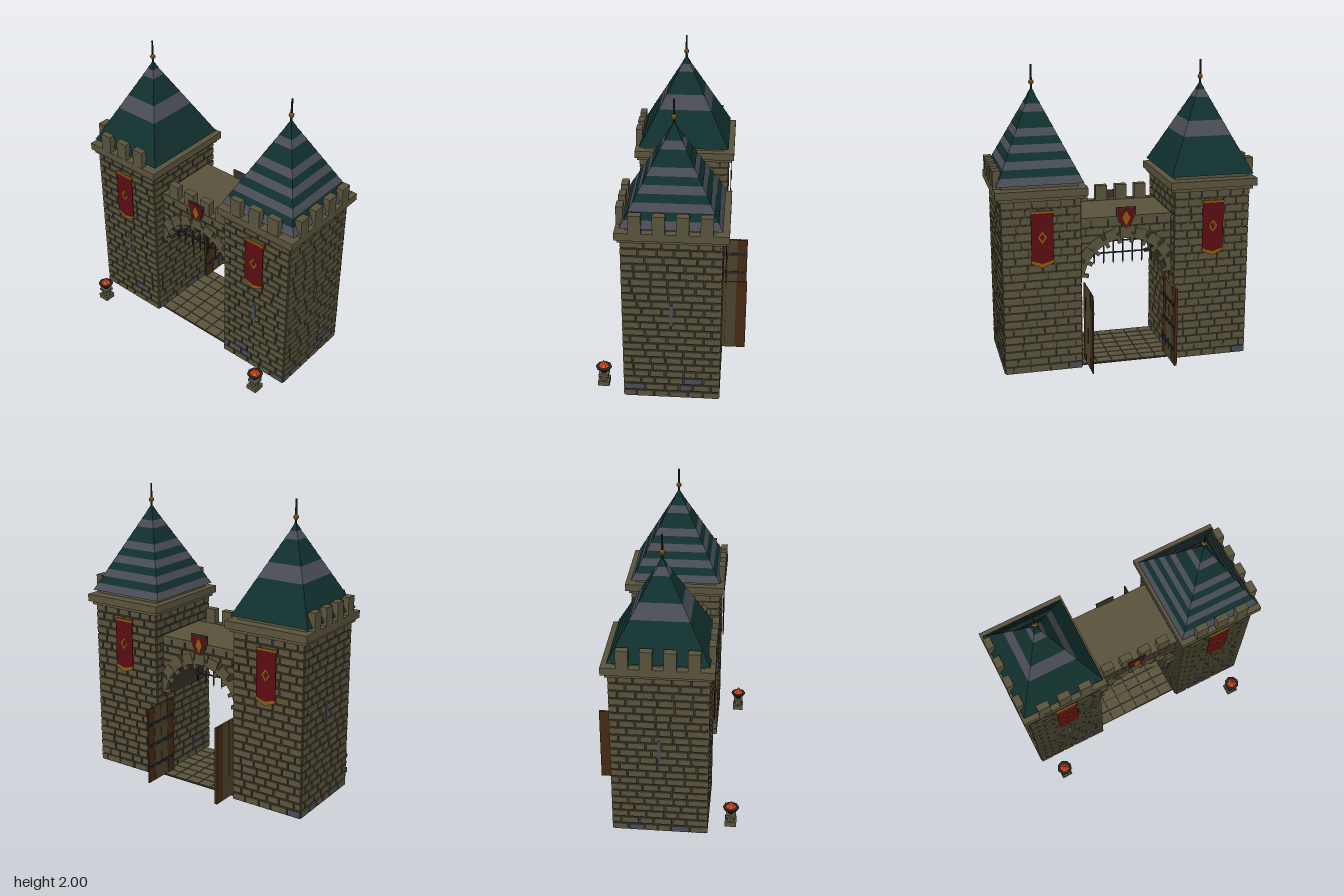
import * as THREE from 'three';
import { mergeGeometries } from 'three/addons/utils/BufferGeometryUtils.js';

const COLORS = {
  stone: 0x59533c, mortar: 0x37332a, tealTile: 0x10302d, slate: 0x494c55, redCloth: 0x5c0d12,
  gold: 0x8c5a12, wood: 0x432811, paleWood: 0x4b412c, iron: 0x22272b, flame: 0xd8481a,
};

// Towers: centre, half sizes and wall height
const TX = 0.5725, TZ = -0.0175, HX = 0.2545, HZ = 0.3045, TH = 1.18, PROUD = 0.008;
const ARCH_Y = 0.58, ARCH_R = 0.3, WALL_F = 0.2, WALL_B = -0.25, WALL_TOP = 1.02;

export function createModel() {
  const model = new THREE.Group();
  const mats = {};
  for (const [name, color] of Object.entries(COLORS)) {
    mats[name] = new THREE.MeshStandardMaterial({ color });
    mats[name].name = name;
  }
  let seed = 7;
  const rand = () => (seed = (seed * 16807) % 2147483647) / 2147483647;

  // Gathers faceted pieces by part name and colour; merged at the end
  const parts = new Map();
  function add(part, mat, geo, x = 0, y = 0, z = 0, ry = 0) {
    const g = geo.index ? geo.toNonIndexed() : geo;
    g.deleteAttribute('uv');
    if (ry) g.rotateY(ry);
    g.translate(x, y, z);
    g.computeVertexNormals();
    const key = part + '|' + mat;
    if (!parts.has(key)) parts.set(key, []);
    parts.get(key).push(g);
  }
  const box = (part, mat, w, h, d, x, y, z) => add(part, mat, new THREE.BoxGeometry(w, h, d), x, y, z);
  // Flat plate from outline points, facing +z (s = 1) or -z (s = -1)
  function plate(part, mat, pts, x, y, z, s, depth = 0.004) {
    const shape = new THREE.Shape(pts.map(p => new THREE.Vector2(...p)));
    const g = new THREE.ExtrudeGeometry(shape, { depth, bevelEnabled: false });
    add(part, mat, g, x, y, z, s < 0 ? Math.PI : 0);
  }
  const diamond = (w, h) => [[0, -h], [w, 0], [0, h], [-w, 0]];

  // Running-bond courses along one face; place(u, y, w, h, mat) puts a brick
  function courses(from, to, y0, y1, rows, place) {
    const rh = (y1 - y0) / rows;
    for (let r = 0; r < rows; r++) {
      let u = from;
      let w = r % 2 ? 0.05 : 0.1;
      while (u < to - 0.001) {
        if (to - u - w < 0.04) w = to - u;
        const mat = y0 < 0.1 && r < 3 && rand() < 0.1 ? 'slate' : 'stone';
        place(u + w / 2, y0 + (r + 0.5) * rh, w - 0.011, rh - 0.011, mat);
        u += w;
        w = 0.08 + rand() * 0.05;
      }
    }
  }

  for (const s of [-1, 1]) {
    const side = s > 0 ? 'left' : 'right';
    const cx = s * TX;

    // Tower body with brick faces
    box(side + 'TowerCore', 'mortar', HX * 2, TH, HZ * 2, cx, TH / 2, TZ);
    for (const f of [-1, 1]) {
      courses(-HX - PROUD, HX + PROUD, 0, TH, 22, (u, y, w, h, m) =>
        box(side + 'TowerBricks', m, w, h, 0.02, cx + u, y, TZ + f * (HZ - 0.01 + PROUD)));
      courses(-HZ, HZ, 0, TH, 22, (u, y, w, h, m) =>
        box(side + 'TowerBricks', m, 0.02, h, w, cx + f * (HX - 0.01 + PROUD), y, TZ + u));
    }

    // Arrow slits
    box(side + 'ArrowSlit', 'slate', 0.025, 0.15, 0.008, cx, 0.495, TZ + HZ + PROUD);
    box(side + 'ArrowSlit', 'slate', 0.008, 0.15, 0.025, cx + s * (HX + PROUD), 0.645, TZ);

    // Cornice and battlements
    box(side + 'Cornice', 'stone', 0.555, 0.03, 0.655, cx, 1.19, TZ);
    box(side + 'Cornice', 'stone', 0.595, 0.05, 0.695, cx, 1.225, -0.022);
    for (const dx of [-0.15, 0, 0.145])
      box(side + 'Merlons', 'stone', 0.082, 0.12, 0.045, cx + s * dx, 1.31, 0.302);
    for (const z of [0.2, 0.055, -0.09, -0.235])
      box(side + 'Merlons', 'stone', 0.05, 0.12, 0.077, s * 0.845, 1.31, z);

    // Banded pyramid roof of twelve overlapping courses
    box(side + 'RoofBase', 'stone', 0.5, 0.035, 0.56, cx, 1.265, TZ);
    const grey = s > 0 ? [0, 2, 4, 6, 9] : [5, 6, 10];
    const N = 12, y0 = 1.275, rh = 0.575 / N;
    for (let i = 0; i < N; i++) {
      const lower = 1 - i / N + 0.008, upper = Math.max(1 - (i + 1) / N, 0.012);
      const g = new THREE.CylinderGeometry(upper * Math.SQRT2, lower * Math.SQRT2, rh, 4);
      g.rotateY(Math.PI / 4);
      g.scale(0.28, 1, 0.31);
      add(side + 'Roof', grey.includes(i) ? 'slate' : 'tealTile', g, cx, y0 + (i + 0.5) * rh, TZ);
    }
    add(side + 'FinialRod', 'iron', new THREE.CylinderGeometry(0.006, 0.008, 0.17, 6), cx, 1.915, TZ);
    add(side + 'FinialBall', 'gold', new THREE.SphereGeometry(0.018, 8, 6), cx, 1.887, TZ);

    // Banners on front and back
    for (const f of [1, -1]) {
      const z = TZ + f * (HZ + 0.024);
      const name = side + 'Banner';
      plate(name, 'redCloth', [[-0.072, 0.77], [0, 0.745], [0.072, 0.77], [0.072, 1.1], [-0.072, 1.1]], cx, 0, z, f);
      plate(name, 'gold', [[-0.074, 0.765], [0, 0.732], [0.074, 0.765], [0.074, 0.785], [0, 0.762], [-0.074, 0.785]], cx, 0, z + f * 0.003, f);
      plate(name, 'gold', diamond(0.03, 0.043), cx, 0.938, z + f * 0.003, f);
      plate(name, 'redCloth', diamond(0.017, 0.025), cx, 0.938, z + f * 0.005, f);
      box(name, 'gold', 0.15, 0.014, 0.012, cx, 1.104, z);
    }

    // Open door leaf, swung back along the passage
    const t = s > 0 ? 0.008 : 0.018, dx = s * (s > 0 ? 0.274 : 0.286);
    for (let i = 0; i < 4; i++)
      box(side + 'Door', i % 3 ? 'paleWood' : 'wood', t, 0.54, 0.068, dx, 0.29, -0.454 + i * 0.072);
    box(side + 'Door', 'wood', t * 0.6, 0.53, 0.28, dx, 0.29, -0.347);
    for (const y of [0.13, 0.285, 0.44]) {
      box(side + 'DoorBands', 'iron', 0.004, 0.022, 0.28, dx - s * (t / 2 + 0.001), y, -0.347);
      for (let i = 0; i < 4; i++)
        box(side + 'DoorStuds', 'iron', 0.008, 0.012, 0.012, dx - s * (t / 2 + 0.004), y, -0.454 + i * 0.072);
    }

    // Brazier standing in front of the tower
    const bx = s * 0.71, bz = 0.442, name = side + 'Brazier';
    const ring = (mat, top, bottom, a, b, n = 8) =>
      add(name, mat, new THREE.CylinderGeometry(top, bottom, b - a, n), bx, (a + b) / 2, bz);
    box(name, 'stone', 0.076, 0.035, 0.076, bx, 0.0175, bz);
    ring('stone', 0.025, 0.03, 0.035, 0.07);
    box(name, 'stone', 0.066, 0.02, 0.066, bx, 0.078, bz);
    ring('iron', 0.018, 0.018, 0.088, 0.1);
    ring('iron', 0.05, 0.02, 0.1, 0.132);
    ring('iron', 0.053, 0.053, 0.13, 0.138);
    ring('flame', 0.002, 0.036, 0.138, 0.182, 6);
  }

  // Gate wall with arched underside
  const wall = new THREE.Shape();
  wall.moveTo(0.32, WALL_TOP - 0.015);
  wall.lineTo(-0.32, WALL_TOP - 0.015);
  wall.lineTo(-0.32, ARCH_Y);
  wall.lineTo(-ARCH_R, ARCH_Y);
  wall.absarc(0, ARCH_Y, ARCH_R, Math.PI, 0, true);
  wall.lineTo(0.32, ARCH_Y);
  add('gateWall', 'mortar', new THREE.ExtrudeGeometry(wall, { depth: WALL_F - WALL_B, bevelEnabled: false, curveSegments: 24 }), 0, 0, WALL_B);
  box('gateDeck', 'stone', 0.62, 0.02, 0.475, 0, WALL_TOP - 0.01, -0.025);
  for (const f of [1, -1]) {
    const z = f > 0 ? WALL_F : WALL_B;
    courses(-0.31, 0.31, 0.64, 1.005, 7, (u, y, w, h) => {
      const nearest = Math.hypot(Math.max(Math.abs(u) - w / 2, 0), y - h / 2 - ARCH_Y);
      if (nearest > 0.305) box('gateWallBricks', 'stone', w, h, 0.016, u, y, z);
    });
    // Arch stones, with narrow tooth stones reaching inward between them
    for (let i = 0; i <= 10; i++) {
      const a = (i / 10) * Math.PI;
      const stone = (w, r0, r1, ang, d) => {
        const g = new THREE.BoxGeometry(w, r1 - r0, d);
        g.translate(0, (r0 + r1) / 2, 0);
        g.rotateZ(ang - Math.PI / 2);
        add('archStones', 'stone', g, 0, ARCH_Y, z);
      };
      if (i > 0 && i < 10) stone(0.078, 0.287, 0.36, a, 0.028);
      if (i < 10) stone(0.024, 0.255, 0.315, a + Math.PI / 20, 0.022);
    }
    // Shield crest with border and diamond
    const shield = k => [[0, -0.078 * k], [0.042 * k, -0.04 * k], [0.066 * k, 0.015 * k], [0.066 * k, 0.072 * k], [-0.066 * k, 0.072 * k], [-0.066 * k, 0.015 * k], [-0.042 * k, -0.04 * k]];
    plate('crest', 'mortar', shield(1), 0, 1.008, z + f * 0.008, f, 0.008);
    plate('crest', 'redCloth', shield(0.84), 0, 1.008, z + f * 0.014, f);
    plate('crest', 'gold', diamond(0.027, 0.053), 0, 1.006, z + f * 0.016, f);
  }

  // Gate battlements along the front
  for (const x of [-0.207, -0.07, 0.07, 0.207]) box('gateMerlons', 'stone', 0.08, 0.11, 0.05, x, 1.07, 0.185);
  box('gateCurb', 'stone', 0.6, 0.02, 0.05, 0, 1.015, 0.185);

  // Raised portcullis, cut to the arch
  const PZ = 0.1;
  for (let i = -4; i <= 4; i++) {
    const x = i * 0.069, top = ARCH_Y + Math.sqrt(ARCH_R ** 2 - x * x);
    box('portcullis', 'iron', 0.009, top - 0.595, 0.009, x, (top + 0.595) / 2, PZ);
    add('portcullisSpikes', 'iron', new THREE.ConeGeometry(0.007, 0.025, 4).rotateX(Math.PI), x, 0.583, PZ);
  }
  for (const y of [0.655, 0.74, 0.8])
    box('portcullis', 'iron', 2 * Math.sqrt(ARCH_R ** 2 - (y - ARCH_Y) ** 2), 0.009, 0.009, 0, y, PZ);

  // Paved passage floor
  box('floorSlab', 'mortar', 0.63, 0.008, 0.54, 0, 0.004, -0.02);
  for (let r = 0; r < 7; r++)
    for (let c = 0; c < 6; c++)
      box('pavingStones', 'stone', 0.094, 0.006, 0.069, -0.258 + c * 0.103, 0.009, -0.251 + r * 0.077);

  // One mesh for each part and colour
  for (const [key, list] of parts) {
    const [part, mat] = key.split('|');
    const mesh = new THREE.Mesh(mergeGeometries(list), mats[mat]);
    mesh.name = part;
    model.add(mesh);
  }
  return model;
}
